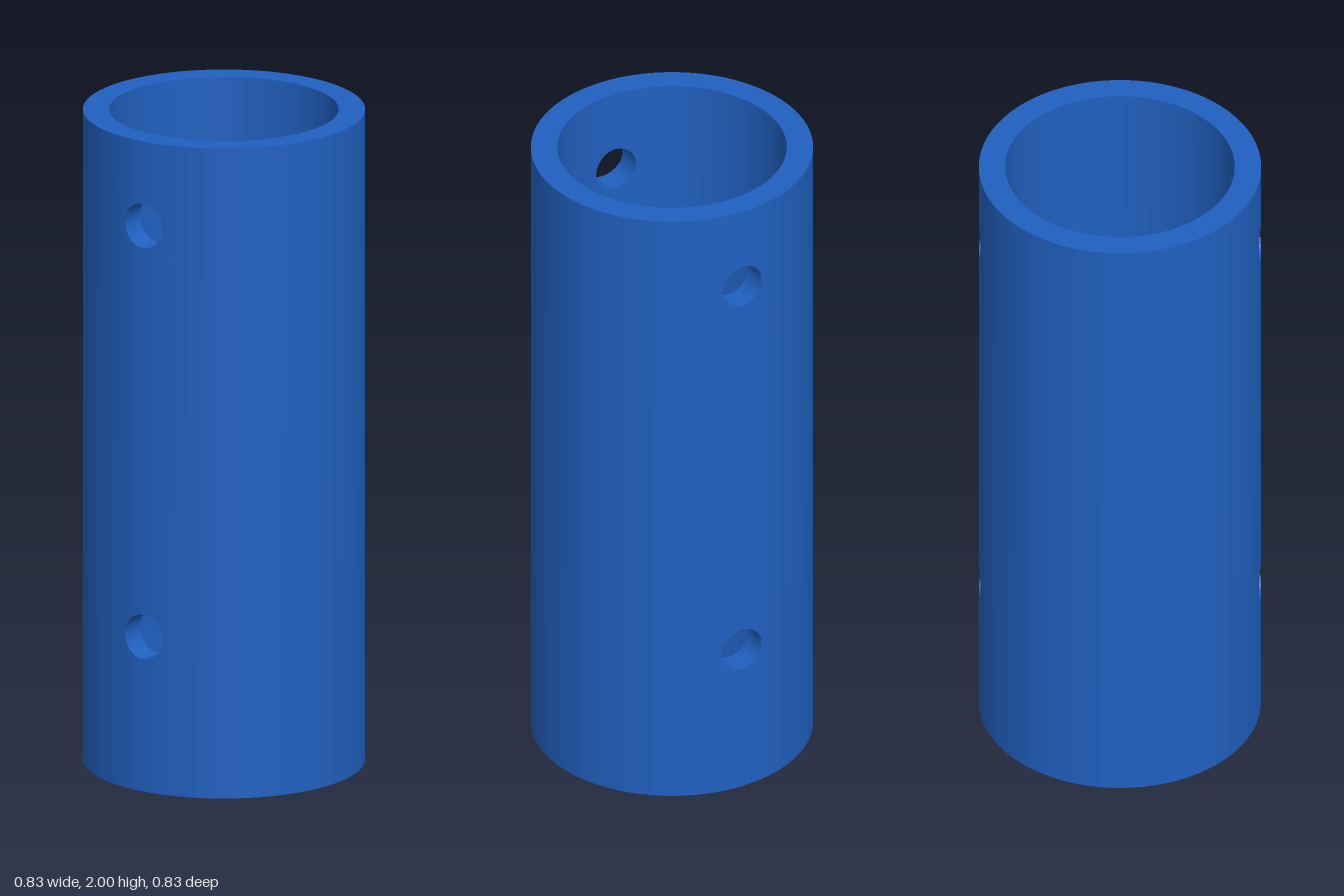
import * as THREE from 'three';
import { mergeGeometries, toCreasedNormals } from 'three/addons/utils/BufferGeometryUtils.js';

const H = 2, OUTER = 0.417, INNER = 0.339;
const HOLE_R = 0.068, HOLES = [0.475, 1.74];
const W = 0.1;           // half width of the square patch around each hole
const N = 12, ARC = 48;  // segments across a patch, and along the plain wall

// Grid surface from a rule point(i, j) -> [x, y, z]
function sheet(nu, nv, point, flip = false) {
  const pos = [], index = [];
  for (let j = 0; j <= nv; j++) for (let i = 0; i <= nu; i++) pos.push(...point(i, j));
  for (let j = 0; j < nv; j++) for (let i = 0; i < nu; i++) {
    const a = j * (nu + 1) + i, b = a + 1, c = a + nu + 1, d = c + 1;
    index.push(...(flip ? [a, d, b, a, c, d] : [a, b, d, a, d, c]));
  }
  const g = new THREE.BufferGeometry();
  g.setAttribute('position', new THREE.Float32BufferAttribute(pos, 3));
  g.setIndex(index);
  return g;
}

// Point on the front of a cylinder of radius R
const onWall = (R, x, y) => [x, y, Math.sqrt(R * R - x * x)];

// Half cross-section: the front strip (k <= N), then the arc round to the back strip
function section(R, k, y) {
  if (k <= N) return onWall(R, -W + 2 * W * k / N, y);
  const a0 = Math.asin(W / R), a = a0 + (Math.PI - 2 * a0) * (k - N) / ARC;
  return [R * Math.sin(a), y, R * Math.cos(a)];
}

// Point i counter-clockwise around a square, blended from the hole rim (t = 0) to the square (t = 1)
function aroundHole(i, t) {
  const s = -W + 2 * W * (i % N) / N;
  const [x, y] = [[W, s], [-s, W], [-W, -s], [s, -W]][Math.floor(i / N) % 4];
  const k = t + (1 - t) * HOLE_R / Math.hypot(x, y);
  return [x * k, y * k];
}

function halfTube() {
  const parts = [];
  for (const R of [OUTER, INNER]) {
    const inside = R === INNER;
    // plain side wall
    parts.push(sheet(ARC, 1, (i, j) => section(R, N + i, j * H), inside));
    // front strip below, between and above the holes
    const levels = [0, ...HOLES.flatMap(y => [y - W, y + W]), H];
    for (let b = 0; b < levels.length; b += 2) {
      parts.push(sheet(N, 1, (i, j) => section(R, i, levels[b + j]), inside));
    }
    // patches around the holes
    for (const y of HOLES) {
      parts.push(sheet(4 * N, 3, (i, j) => {
        const [px, py] = aroundHole(i, j / 3);
        return onWall(R, px, y + py);
      }, !inside));
    }
  }
  // drilled hole walls
  for (const y of HOLES) {
    parts.push(sheet(4 * N, 1, (i, j) => {
      const [px, py] = aroundHole(i, 0);
      return onWall(j ? OUTER : INNER, px, y + py);
    }, true));
  }
  // end rings
  for (const y of [0, H]) {
    parts.push(sheet(N + ARC, 1, (i, j) => section(j ? OUTER : INNER, i, y), y === H));
  }
  return mergeGeometries(parts);
}

export function createModel() {
  const group = new THREE.Group();
  group.name = 'drilledTube';
  const front = halfTube();
  const back = front.clone().rotateY(Math.PI);
  const tube = new THREE.Mesh(
    toCreasedNormals(mergeGeometries([front, back]), 0.6),
    new THREE.MeshStandardMaterial({ color: 0x2060c0 })
  );
  tube.name = 'tube';
  group.add(tube);
  return group;
}
